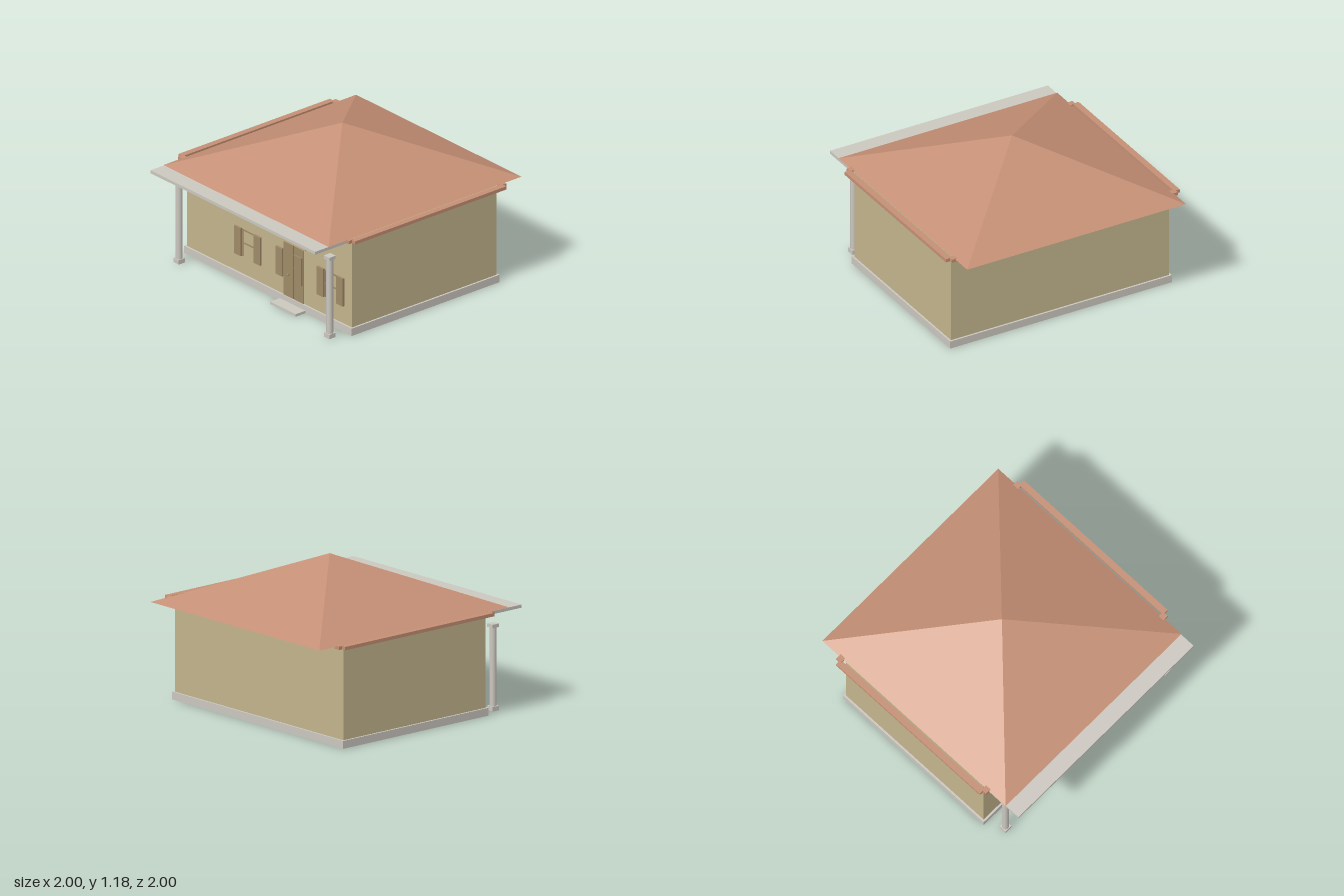
import * as THREE from 'three';

const material = (name, color, flatShading = false) => {
  const m = new THREE.MeshStandardMaterial({ color, flatShading });
  m.name = name;
  return m;
};

export function createModel() {
  const house = new THREE.Group();
  house.name = 'house';
  const tile = material('terracotta', 0xc48f75, true);
  const plaster = material('plaster', 0xc2b48c);
  const stone = material('stone', 0xcbc7bf);
  const wood = material('wood', 0xa08a68);

  const add = (parent, name, geometry, mat) => {
    const mesh = new THREE.Mesh(geometry, mat);
    mesh.name = name;
    parent.add(mesh);
    return mesh;
  };
  // Box given by its extents along each axis
  const box = (parent, name, mat, [x0, x1], [y0, y1], [z0, z1]) => {
    const mesh = add(parent, name, new THREE.BoxGeometry(x1 - x0, y1 - y0, z1 - z0), mat);
    mesh.position.set((x0 + x1) / 2, (y0 + y1) / 2, (z0 + z1) / 2);
    return mesh;
  };

  // Main body
  box(house, 'foundation', stone, [-0.948, 0.948], [0, 0.06], [-0.775, 0.66]);
  box(house, 'walls', plaster, [-0.933, 0.933], [0.06, 0.78], [-0.76, 0.645]);
  box(house, 'porchSlab', stone, [-0.932, 0.932], [0.76, 0.784], [0.64, 1]);

  // Four-sided hipped roof
  const roofGeometry = new THREE.ConeGeometry(0.936 * Math.SQRT2, 0.393, 4);
  roofGeometry.rotateY(Math.PI / 4);
  add(house, 'roof', roofGeometry, tile).position.set(0, 0.786 + 0.393 / 2, -0.064);

  // Gutters: a long rail with a stepped block at each end
  for (const side of [-1, 1]) {
    const gutter = new THREE.Group();
    gutter.name = side > 0 ? 'leftGutter' : 'rightGutter';
    const span = (a, b) => (side > 0 ? [a, b] : [-b, -a]);
    box(gutter, 'gutterRail', tile, span(0.95, 1), [0.766, 0.792], [-0.8, 0.67]);
    box(gutter, 'gutterBackEnd', tile, span(0.912, 0.966), [0.767, 0.793], [-0.83, -0.782]);
    box(gutter, 'gutterFrontEnd', tile, span(0.912, 0.966), [0.767, 0.793], [0.656, 0.703]);
    house.add(gutter);
  }

  // Porch columns
  for (const side of [-1, 1]) {
    const column = new THREE.Group();
    column.name = side > 0 ? 'leftColumn' : 'rightColumn';
    box(column, 'columnBase', stone, [-0.031, 0.031], [0, 0.035], [-0.031, 0.031]);
    add(column, 'columnShaft', new THREE.CylinderGeometry(0.026, 0.026, 0.61, 24), stone).position.y = 0.335;
    box(column, 'columnCapital', stone, [-0.031, 0.031], [0.635, 0.662], [-0.031, 0.031]);
    column.position.set(side * 0.852, 0, 0.79);
    house.add(column);
  }

  // Double door with lintel, knob and doorstep
  const door = new THREE.Group();
  door.name = 'door';
  box(door, 'doorLeafRight', wood, [0.17, 0.277], [0.06, 0.503], [0.64, 0.652]);
  box(door, 'doorLeafLeft', wood, [0.285, 0.392], [0.06, 0.503], [0.64, 0.652]);
  box(door, 'lintel', plaster, [0.14, 0.42], [0.503, 0.53], [0.64, 0.662]);
  const knob = add(door, 'doorKnob', new THREE.SphereGeometry(0.008, 12, 8), wood);
  knob.position.set(0.236, 0.248, 0.667);
  const stem = add(door, 'knobStem', new THREE.CylinderGeometry(0.004, 0.004, 0.016, 8), wood);
  stem.rotation.x = Math.PI / 2;
  stem.position.set(0.236, 0.248, 0.657);
  box(door, 'doorstep', stone, [0.135, 0.425], [0, 0.02], [0.64, 0.755]);
  house.add(door);

  // Shuttered windows, the middle one sharing its place with the door
  for (const x of [-0.234, 0.233, 0.7]) {
    const win = new THREE.Group();
    win.name = 'window';
    for (const side of [-1, 1]) {
      const span = (a, b) => (side > 0 ? [a, b] : [-b, -a]);
      box(win, 'shutter', wood, span(0.073, 0.147), [0.203, 0.43], [0.64, 0.662]);
      box(win, 'windowJamb', wood, span(0.062, 0.073), [0.203, 0.425], [0.64, 0.648]);
    }
    box(win, 'windowHead', wood, [-0.062, 0.062], [0.412, 0.425], [0.64, 0.648]);
    box(win, 'windowBar', wood, [-0.062, 0.062], [0.308, 0.32], [0.64, 0.648]);
    win.position.x = x;
    house.add(win);
  }

  return house;
}
